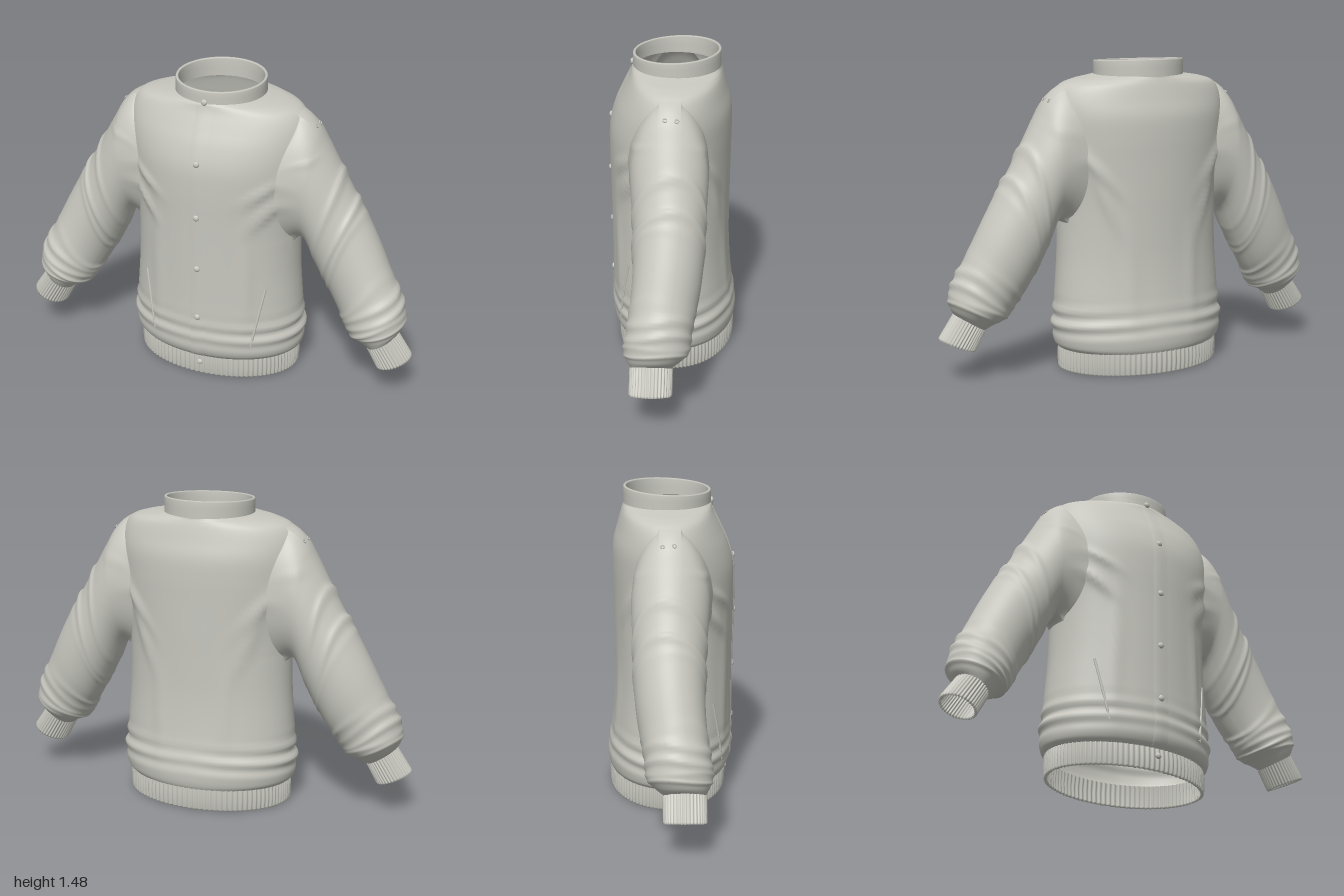
import * as THREE from 'three';

const N = 128, H = 13, S = 6, T = 8;      // torso sides, armhole half width, steps per torso / sleeve section
const J0 = 7 * S, J1 = 13 * S;            // armhole rows
const H0 = H * 2 * Math.PI / N;

// Torso sections: y, half width, front depth, back depth
const TORSO = [
  [0.105, 0.405, 0.265, 0.292], [0.125, 0.425, 0.282, 0.3], [0.16, 0.432, 0.293, 0.305],
  [0.22, 0.436, 0.297, 0.3], [0.3, 0.428, 0.296, 0.287], [0.42, 0.418, 0.295, 0.275],
  [0.56, 0.408, 0.296, 0.268], [0.72, 0.405, 0.298, 0.268], [0.85, 0.41, 0.3, 0.27],
  [1.0, 0.43, 0.303, 0.272], [1.12, 0.44, 0.298, 0.274], [1.22, 0.445, 0.272, 0.27],
  [1.3, 0.435, 0.236, 0.25], [1.36, 0.4, 0.207, 0.234], [1.385, 0.335, 0.198, 0.226],
  [1.396, 0.27, 0.195, 0.222], [1.405, 0.213, 0.19, 0.22],
];
// Sleeve sections: outer x, y, inner x, y, front z, back z
const SLEEVE = [
  [0.4, 1.36, 0.405, 0.72, 0.18, -0.175], [0.465, 1.32, 0.425, 0.735, 0.178, -0.178],
  [0.53, 1.21, 0.455, 0.705, 0.17, -0.175], [0.6, 1.085, 0.49, 0.62, 0.16, -0.17],
  [0.665, 0.97, 0.53, 0.54, 0.155, -0.168], [0.725, 0.875, 0.565, 0.48, 0.152, -0.163],
  [0.8, 0.735, 0.605, 0.41, 0.155, -0.15], [0.87, 0.59, 0.637, 0.36, 0.165, -0.13],
  [0.925, 0.48, 0.665, 0.31, 0.178, -0.115], [0.95, 0.4, 0.7, 0.28, 0.183, -0.108],
  [0.94, 0.345, 0.745, 0.258, 0.168, -0.07], [0.918, 0.312, 0.785, 0.23, 0.15, -0.028],
];
// Cloth folds: |x|, y, angle, length, width, height, side (1 front, -1 back)
const FOLDS = [
  [0.28, 1.01, 0.6, 0.09, 0.018, 0.011, 1], [0.33, 0.93, 0.75, 0.09, 0.018, 0.01, 1],
  [0.27, 0.87, 0.9, 0.08, 0.02, 0.008, 1], [0.22, 0.55, 1.6, 0.28, 0.03, 0.008, 1],
  [0.46, 1.15, 0.54, 0.1, 0.012, 0.005, 1], [0.46, 1.15, 0.54, 0.1, 0.012, 0.005, -1],
  [0.3, 0.98, 0.9, 0.14, 0.022, 0.012, -1], [0.26, 0.82, 1.2, 0.15, 0.025, 0.01, -1],
  [0.16, 0.5, 1.55, 0.25, 0.035, 0.007, -1],
];
// Rolls along the sleeve: section position, height, width, turn
const ROLLS = [
  [3.1, 0.012, 0.16, 0], [4.25, 0.013, 0.18, 0.4], [4.8, 0.008, 0.15, 2], [6.9, 0.009, 0.18, 3],
  [7.5, 0.014, 0.17, 0.5], [8.15, 0.015, 0.18, 0], [8.75, 0.013, 0.17, 2.6], [9.35, 0.012, 0.16, 0],
];

// Smooth interpolation through a list of sections
function section(list, u) {
  const n = list.length - 1, i = Math.min(n - 1, Math.floor(u)), t = u - i;
  const [a, b, c, d] = [-1, 0, 1, 2].map(k => list[Math.max(0, Math.min(n, i + k))]);
  return b.map((p, k) => p + 0.5 * t * (c[k] - a[k] + t * (2 * a[k] - 5 * p + 4 * c[k] - d[k]
    + t * (3 * (p - c[k]) + d[k] - a[k]))));
}

function drape(x, y, z) {
  const ax = Math.abs(x);
  let d = 0.007 * Math.exp(-(((y - 0.25) / 0.07) ** 2)) * Math.sin(y * 85 + 3 * ax + z * 4)
    * (ax < 0.5 ? 1 : 0) * (0.5 + ax);
  for (const [fx, fy, a, len, wid, h, side] of FOLDS) {
    const c = Math.cos(a), s = Math.sin(a), dx = ax - fx, dy = y - fy;
    d += h * Math.exp(-(((dx * c + dy * s) / len) ** 2) - (((dy * c - dx * s) / wid) ** 2))
      * THREE.MathUtils.smoothstep(z * side, 0.02, 0.14);
  }
  return d;
}

function torsoPoint(u, i) {
  const [y, w, zf, zb] = section(TORSO, u);
  // Squeeze the sides of the grid so the armhole is oval
  let h = 0.68 * Math.sqrt(Math.max(0.12, 1 - ((y - 1.04) / 0.32) ** 2));
  if (y < 0.72) h += (H0 - h) * Math.min(1, (0.72 - y) / 0.3);
  const right = i > N / 4 && i <= 3 * N / 4;
  let a = (right ? N / 2 - i : i > N / 2 ? i - N : i) * 2 * Math.PI / N;
  const q = Math.abs(a);
  a = Math.sign(a) * (q <= H0 ? q * h / H0 : h + (q - H0) * (Math.PI / 2 - h) / (Math.PI / 2 - H0));
  const x = w * Math.cos(a) * (right ? -1 : 1), z = Math.sin(a) * (a > 0 ? zf : zb);
  const k = 1 + drape(x, y, z) / 0.3;
  return [x * k, y, z * k];
}

// Depth of the front cloth at x, y
function frontZ(x, y) {
  if (y < 0.105) return 0.266;
  if (y > 1.4) return 0.191;
  let lo = 0, hi = TORSO.length - 1;
  for (let k = 0; k < 30; k++) {
    const m = (lo + hi) / 2;
    if (section(TORSO, m)[0] < y) lo = m; else hi = m;
  }
  const [, w, zf] = section(TORSO, lo);
  const z = zf * Math.sqrt(1 - (x / w) ** 2);
  return z * (1 + drape(x, y, z) / 0.3);
}

function sleevePoint(u, phi) {
  const [ox, oy, ix, iy, zf, zb] = section(SLEEVE, u);
  const c = Math.cos(phi), s = Math.sin(phi);
  let d = 0;
  for (const [at, h, wid, turn] of ROLLS) {
    d += h * Math.exp(-(((u - at - 0.12 * Math.sin(phi * 2 + turn)) / wid) ** 2)) * (0.6 + 0.4 * Math.cos(phi - turn));
  }
  const at = k => [(ox + ix) / 2 + (ox - ix) / 2 * c * k, (oy + iy) / 2 + (oy - iy) / 2 * c * k,
    (zf + zb) / 2 + (zf - zb) / 2 * s * k];
  const p = at(1);
  return at(1 + (d + (p[0] < 0.62 ? drape(...p) : 0)) / 0.2);
}

// Torso and sleeves share one vertex list, so the shading runs across the armholes
function buildCloth() {
  const pos = [], parts = { torso: [], leftSleeve: [], rightSleeve: [] };
  const quad = (list, a, b, c, d, flip) => list.push(...(flip ? [a, b, c, a, c, d] : [a, c, b, a, d, c]));
  const rows = (TORSO.length - 1) * S, id = (i, j) => j * N + (i + N) % N;
  for (let j = 0; j <= rows; j++) for (let i = 0; i < N; i++) pos.push(...torsoPoint(j / S, i));
  for (let j = 0; j < rows; j++) for (let i = 0; i < N; i++) {
    const hole = j >= J0 && j < J1 && [0, N / 2, N].some(m => i >= m - H && i < m + H);
    if (!hole) quad(parts.torso, id(i, j), id(i + 1, j), id(i + 1, j + 1), id(i, j + 1));
  }
  // Armhole edge as a loop of grid places
  const loop = [];
  for (let i = -H; i < H; i++) loop.push([i, J0]);
  for (let j = J0; j < J1; j++) loop.push([H, j]);
  for (let i = H; i > -H; i--) loop.push([i, J1]);
  for (let j = J1; j > J0; j--) loop.push([-H, j]);
  const M = loop.length, steps = (SLEEVE.length - 1) * T;
  for (const side of [1, -1]) {
    const list = side > 0 ? parts.leftSleeve : parts.rightSleeve;
    let prev = loop.map(([i, j]) => id(side > 0 ? i : N / 2 - i, j));
    const start = prev.map(v => pos.slice(v * 3, v * 3 + 3));
    const phi = start.map(p => Math.atan2(p[2] / 0.178, (p[1] - 1.04) / 0.32));
    for (let r = 1; r <= steps; r++) {
      const k = THREE.MathUtils.smoothstep(r / T, 0, 1.5);
      const ring = phi.map((f, m) => {
        const p = sleevePoint(r / T, f);
        p[0] *= side;
        pos.push(...p.map((v, n) => start[m][n] + (v - start[m][n]) * k));
        return pos.length / 3 - 1;
      });
      for (let m = 0; m < M; m++) {
        const n = (m + 1) % M;
        quad(list, prev[m], prev[n], ring[n], ring[m], side < 0);
      }
      prev = ring;
    }
  }
  const all = new THREE.BufferGeometry();
  all.setAttribute('position', new THREE.Float32BufferAttribute(pos, 3));
  all.setIndex(Object.values(parts).flat());
  all.computeVertexNormals();
  return Object.entries(parts).map(([name, index]) => {
    const g = new THREE.BufferGeometry();
    g.setAttribute('position', all.attributes.position);
    g.setAttribute('normal', all.attributes.normal);
    g.setIndex(index);
    return [name, g];
  });
}

// Closed band: point(angle, t, inset) follows the profile out, over the rim and back inside
function band(point, sides, flip, thick) {
  const profile = [[0, 0], [0.08, 0], [0.3, 0], [0.6, 0], [0.93, 0], [1, 0.2], [1, 0.8], [0.93, 1], [0.5, 1], [0, 1]];
  const pos = [], index = [];
  profile.forEach(([t, inset], j) => {
    for (let i = 0; i < sides; i++) {
      pos.push(...point(i / sides * 2 * Math.PI, t, inset * thick));
      if (!j) continue;
      const n = (i + 1) % sides, a = (j - 1) * sides + i, b = (j - 1) * sides + n, c = j * sides + n, d = j * sides + i;
      index.push(...(flip ? [a, c, b, a, d, c] : [a, b, c, a, c, d]));
    }
  });
  const g = new THREE.BufferGeometry();
  g.setAttribute('position', new THREE.Float32BufferAttribute(pos, 3));
  g.setIndex(index);
  g.computeVertexNormals();
  return g;
}

export function createModel() {
  const group = new THREE.Group();
  const cloth = new THREE.MeshStandardMaterial({ color: 0xc8c8c0, side: THREE.DoubleSide });
  cloth.name = 'pale grey cloth';
  const add = (name, geometry) => {
    const mesh = new THREE.Mesh(geometry, cloth);
    mesh.name = name;
    group.add(mesh);
    return mesh;
  };
  for (const [name, g] of buildCloth()) add(name, g);

  // Ribbed hem
  add('hem', band((a, t, inset) => {
    const r = 0.004 * Math.cos(a * 96) - inset + 0.004 * Math.sin(t * Math.PI);
    return [(0.403 + r) * Math.cos(a), 0.112 * (1 - t), ((Math.sin(a) > 0 ? 0.262 : 0.29) + r) * Math.sin(a)];
  }, 480, false, 0.012));

  // Ribbed cuffs
  for (const side of [1, -1]) {
    add(side > 0 ? 'leftCuff' : 'rightCuff', band((a, t, inset) => {
      const r = 1 + (0.003 * Math.cos(a * 36) - inset) / 0.09;
      const cx = 0.852 + 0.064 * t, cy = 0.272 - 0.103 * t;
      const hx = 0.069 + 0.012 * t, hy = 0.042 - 0.008 * t;
      return [side * (cx + hx * r * Math.cos(a)), cy + hy * r * Math.cos(a), 0.06 + 0.094 * r * Math.sin(a)];
    }, 180, side < 0, 0.01));
  }

  // Stand collar, a little higher at the back
  add('collar', band((a, t, inset) => {
    const z = -0.015 + (0.206 - inset) * Math.sin(a);
    return [(0.215 - inset) * Math.cos(a), 1.392 + 0.08 * t - 0.05 * z * t, z];
  }, 96, true, 0.014));

  // Front placket with one raised edge
  const placket = new THREE.PlaneGeometry(1, 1, 3, 120), p = placket.attributes.position;
  for (let k = 0; k < p.count; k++) {
    const col = k % 4, x = [-0.041, -0.039, 0, 0.05][col], y = 0.11 + 1.28 * (p.getY(k) + 0.5);
    p.setXYZ(k, x, y, frontZ(x, y) + [-0.002, 0.005, 0.004, -0.001][col]);
  }
  placket.computeVertexNormals();
  add('placket', placket);

  // Snap buttons
  const dome = new THREE.SphereGeometry(0.015, 20, 12);
  for (const y of [1.41, 1.145, 0.875, 0.605, 0.34, 0.07]) {
    const button = add('button', dome);
    button.position.set(-0.004, y, frontZ(0, y) + 0.004);
    button.scale.z = 0.6;
  }

  for (const side of [1, -1]) {
    // Slanted pocket welts
    const path = [0, 0.25, 0.5, 0.75, 1].map(t => {
      const x = side * (0.25 + 0.055 * t), y = 0.2 + 0.3 * t;
      return new THREE.Vector3(x, y, frontZ(x, y));
    });
    add('pocketWelt', new THREE.TubeGeometry(new THREE.CatmullRomCurve3(path), 40, 0.006, 8));
    // Shoulder eyelets
    for (const phi of [-0.2, 0.1]) {
      const [x, y, z] = sleevePoint(1.2, phi);
      const eyelet = add('eyelet', new THREE.TorusGeometry(0.008, 0.003, 6, 14));
      eyelet.position.set(side * x, y, z);
      eyelet.lookAt(side * (x + 1), y + 0.8, z);
    }
  }
  return group;
}
